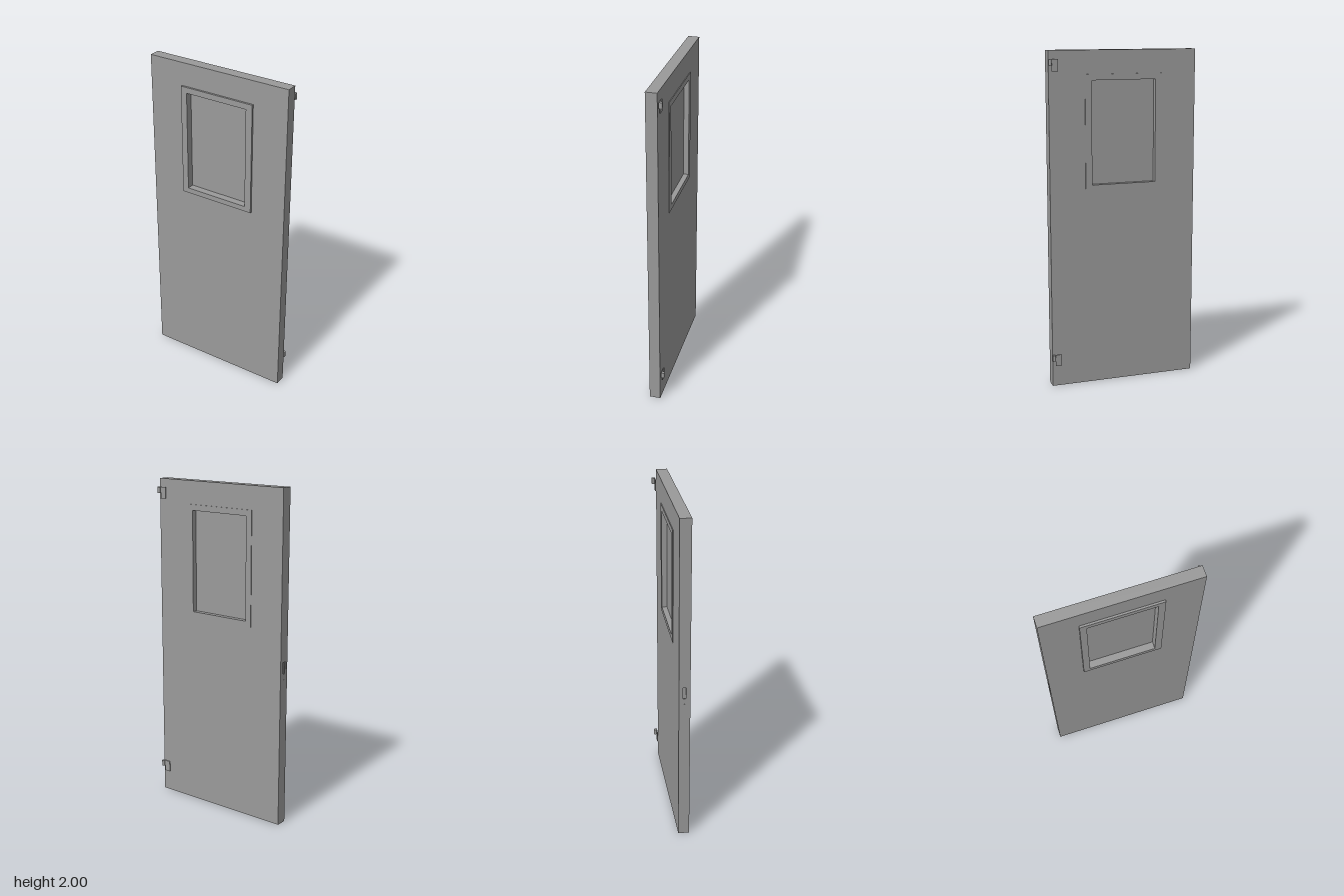
import * as THREE from 'three';

const material = new THREE.MeshStandardMaterial({ color: 0x9a9a9a });

// Rectangle outline given by its edges
function rect(x0, x1, y0, y1, Kind = THREE.Shape) {
  return new Kind([[x0, y0], [x1, y0], [x1, y1], [x0, y1]].map(p => new THREE.Vector2(...p)));
}

// Rectangular panel with an optional hole, extruded from z0 to z1
function panel(outer, hole, z0, z1) {
  const shape = rect(...outer);
  if (hole) shape.holes.push(rect(...hole, THREE.Path));
  return new THREE.ExtrudeGeometry(shape, { depth: z1 - z0, bevelEnabled: false }).translate(0, 0, z0);
}

function addMesh(parent, name, geometry) {
  const mesh = new THREE.Mesh(geometry, material);
  mesh.name = name;
  parent.add(mesh);
}

// Stands a panel drawn in (z, y) on the latch edge, its face towards -x
function onEdge(geometry, x) {
  return geometry.rotateY(-Math.PI / 2).translate(x, 0, 0);
}

// Lift-off hinge: L-shaped leaf with a short barrel at the top
function createHinge(top) {
  const hinge = new THREE.Group();
  hinge.name = 'hinge';
  const leaf = new THREE.Shape([[0.395, -0.068], [0.432, -0.068], [0.432, -0.035], [0.449, -0.035],
    [0.449, 0], [0.395, 0]].map(p => new THREE.Vector2(...p)));
  addMesh(hinge, 'hingeLeaf',
    new THREE.ExtrudeGeometry(leaf, { depth: 0.005, bevelEnabled: false }).translate(0, 0, -0.039));
  addMesh(hinge, 'hingeBarrel',
    new THREE.CylinderGeometry(0.009, 0.009, 0.035, 24).translate(0.442, -0.0175, -0.045));
  hinge.position.y = top;
  return hinge;
}

export function createModel() {
  const door = new THREE.Group();
  door.name = 'door';

  const opening = [-0.2, 0.193, 1.217, 1.827];
  const surround = [-0.238, 0.233, 1.185, 1.862];
  const mortise = [-0.013, 0.025, 0.9, 1.04];
  const back = -0.027, front = 0.039;

  // Slab with window opening, and the latch edge with its mortise
  addMesh(door, 'slab', panel([-0.436, 0.449, 0, 2], opening, back, front));
  addMesh(door, 'latchEdge', onEdge(panel([back, front, 0, 2], mortise, 0, 0.015), -0.436));

  // Lock plate set into the mortise, with a slot for the bolt
  addMesh(door, 'lockPlate', onEdge(panel(mortise, [-0.003, 0.015, 0.935, 1.005], 0, 0.003), -0.447));

  // Window surround on both faces, and the pane
  addMesh(door, 'frontWindowFrame', panel(surround, opening, front, 0.051));
  addMesh(door, 'backWindowFrame', panel(surround, opening, -0.031, back));
  addMesh(door, 'windowPane', panel(opening, null, 0, 0.008));

  for (const top of [1.95, 0.197]) door.add(createHinge(top));
  return door;
}
